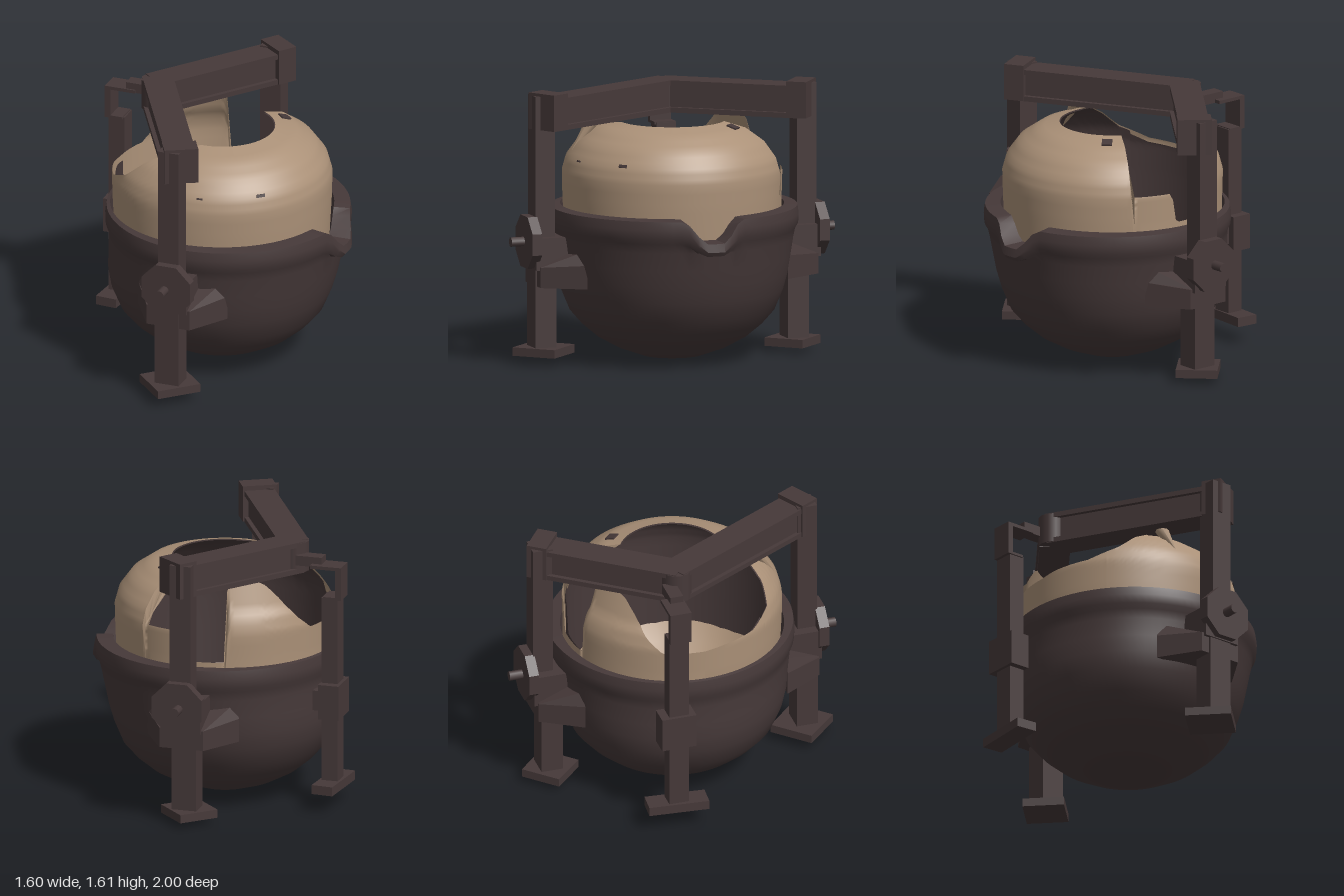
import * as THREE from 'three';
import { toCreasedNormals } from 'three/addons/utils/BufferGeometryUtils.js';

const iron = new THREE.MeshStandardMaterial({ color: 0x463939, side: THREE.DoubleSide });
iron.name = 'dark iron';
const clay = new THREE.MeshStandardMaterial({ color: 0xab9178, side: THREE.DoubleSide });
clay.name = 'tan lining';

const V2 = (p) => new THREE.Vector2(p[0], p[1]);

function add(parent, name, geo, mat, pos = [0, 0, 0], rot = [0, 0, 0]) {
  const m = new THREE.Mesh(geo, mat);
  m.name = name;
  m.position.set(...pos);
  m.rotation.set(...rot);
  parent.add(m);
  return m;
}

// box given by its min and max on each axis
function box(parent, name, x0, x1, y0, y1, z0, z1, turn = 0) {
  return add(parent, name, new THREE.BoxGeometry(x1 - x0, y1 - y0, z1 - z0), iron,
    [(x0 + x1) / 2, (y0 + y1) / 2, (z0 + z1) / 2], [0, turn, 0]);
}

// piecewise linear lookup in [[key, value...], ...]
function lookup(table, k, col = 1) {
  for (let i = 1; i < table.length; i++) {
    const a = table[i - 1], b = table[i];
    if (k <= b[0]) return THREE.MathUtils.lerp(a[col], b[col], Math.max(0, (k - a[0]) / (b[0] - a[0])));
  }
  return table[table.length - 1][col];
}

// round-bottomed pot with a rim band and a pouring notch on +x
function potGeometry() {
  const profile = [[0, 0.01], [0.18, 0.03], [0.32, 0.08], [0.44, 0.145], [0.53, 0.22], [0.6, 0.3], [0.65, 0.42], [0.675, 0.52],
    [0.687, 0.62], [0.7, 0.73], [0.71, 0.785], [0.727, 0.815], [0.73, 0.87], [0.722, 0.92], [0.655, 0.925], [0.645, 0.8]];
  const geo = new THREE.LatheGeometry(profile.map(V2), 96);
  const p = geo.attributes.position;
  for (let i = 0; i < p.count; i++) {
    let x = p.getX(i), y = p.getY(i), z = p.getZ(i);
    const r = Math.hypot(x, z);
    if (r < 0.01) continue;
    const c = x / r;
    const high = THREE.MathUtils.smoothstep(y, 0.4, 0.85);
    const notch = x > 0 ? 1 - THREE.MathUtils.smoothstep(Math.abs(z), 0.04, 0.18) : 0;
    let grow = r > 0.66 ? high * (c > 0 ? 0.03 : 0.05) * c : 0;
    if (r > 0.69 && y > 0.75) grow += 0.035 * notch;
    if (y > 0.75) y -= notch * (y > 0.84 ? 0.13 : 0.07);
    p.setXYZ(i, x * (1 + grow / r), y, z * (1 + grow / r));
  }
  return toCreasedNormals(geo, 0.55);
}

// lining wall: [step, radius, height], and how far it reaches at each angle
const wall = [[0, 0.615, 0.5], [1, 0.64, 0.95], [2, 0.645, 1.12], [3, 0.62, 1.21], [4, 0.55, 1.305], [5, 0.44, 1.38], [6, 0.31, 1.415]];
const reach = [[-180, 1.9], [-157, 1.9], [-150, 2.6], [-128, 5.7], [-109, 5.7], [-107, 1], [-85, 1], [-82, 2.1],
  [-61, 2.1], [-59, 6], [92, 6], [108, 5.5], [122, 4.3], [134, 3], [150, 2.2], [180, 1.9]];

function shellGeometry(from, to, inset = 0) {
  const pos = [], index = [], rows = 18, cols = Math.round((to - from) / 2);
  for (let j = 0; j <= cols; j++) {
    const deg = from + (to - from) * j / cols, a = deg * Math.PI / 180;
    const top = lookup(reach, deg);
    for (let i = 0; i <= rows; i++) {
      const s = top * i / rows, y = lookup(wall, s, 2);
      let r = lookup(wall, s, 1);
      if (deg < -62) r = Math.max(r, Math.min(0.64, 0.64 - (y - 1.1) * 0.33)); // flap stands steeper than the dome
      r -= inset;
      pos.push(r * Math.cos(a), y - inset, r * Math.sin(a));
      if (i < rows && j < cols) {
        const k = j * (rows + 1) + i, n = k + rows + 1;
        index.push(k, k + 1, n, k + 1, n + 1, n);
      }
    }
  }
  const g = new THREE.BufferGeometry();
  g.setAttribute('position', new THREE.Float32BufferAttribute(pos, 3));
  g.setIndex(index);
  g.computeVertexNormals();
  return g;
}

// uneven bowl deep inside the lining
function floorGeometry() {
  const g = new THREE.LatheGeometry([[0.62, 0.56], [0.55, 0.46], [0.45, 0.37], [0.33, 0.29], [0.22, 0.26], [0.1, 0.22], [0, 0.21]].map(V2), 40);
  const p = g.attributes.position;
  for (let i = 0; i < p.count; i++)
    p.setY(i, p.getY(i) + 0.012 * Math.sin(9 * p.getX(i)) * Math.cos(11 * p.getZ(i)));
  g.computeVertexNormals();
  return g;
}

// cradle bracket, wide at the pot and narrow at its outer end
function cradleGeometry() {
  const shape = new THREE.Shape([[-0.28, 0.48], [0.28, 0.48], [0.28, 0.62], [0.24, 0.7], [-0.24, 0.7], [-0.28, 0.62]].map(V2));
  const g = new THREE.ExtrudeGeometry(shape, { depth: 0.24, bevelEnabled: false });
  const p = g.attributes.position;
  for (let i = 0; i < p.count; i++)
    if (p.getZ(i) > 0.1) p.setXY(i, p.getX(i) * 0.48, Math.min(p.getY(i), 0.6));
  g.computeVertexNormals();
  return g;
}

// side stand with foot, trunnion and bracket; s is the side along z
function sideStand(s) {
  const g = new THREE.Group();
  g.name = s > 0 ? 'frontStand' : 'backStand';
  const inward = s > 0 ? 0 : 0.045, drop = s > 0 ? 0 : 0.02, size = s > 0 ? 0.27 : 0.245;
  const b = (name, x0, x1, y0, y1, a, c) => box(g, name, x0, x1, y0, y1, Math.min(a * s, c * s), Math.max(a * s, c * s));
  add(g, 'foot', new THREE.BoxGeometry(size, 0.05, size), iron, [-0.015, 0.09 - drop, s * (0.79 - inward * 0.85)], [0, Math.PI / 4, 0]);
  b('lowerPost', -0.08, 0.07, 0.1 - drop, 0.6, 0.74 - inward, 0.87 - inward);
  b('upperPost', -0.06, 0.07, 0.62, 1.6, 0.75, 0.87);
  add(g, 'cradleBracket', cradleGeometry(), iron, [0, 0, s * 0.62], [0, s > 0 ? 0 : Math.PI, 0]);
  b('trunnionBlock', -0.12, 0.12, 0.58, 0.77, 0.68, 0.88);
  // eight-sided bearing plate and its pin
  const plate = new THREE.CylinderGeometry(0.165, 0.165, 0.06, 8).rotateY(Math.PI / 8).toNonIndexed();
  plate.computeVertexNormals();
  add(g, 'bearingPlate', plate, iron, [0.01, 0.74, s * 0.89], [Math.PI / 2, 0, 0]);
  add(g, 'pin', new THREE.CylinderGeometry(0.028, 0.028, 0.14, 10), iron, [0, 0.74, s * 0.93], [Math.PI / 2, 0, 0]);
  return g;
}

// flanged beam from a post top to the elbow
function beam(s) {
  const g = new THREE.Group();
  g.name = s > 0 ? 'frontBeam' : 'backBeam';
  const ax = 0.055, az = s * 0.8, bx = -0.45, bz = -0.12;
  const len = Math.hypot(bx - ax, bz - az);
  g.position.set((ax + bx) / 2, 1.5, (az + bz) / 2);
  g.rotation.y = Math.atan2(ax - bx, az - bz);
  const slab = (name, w, h, l, y, z) => add(g, name, new THREE.BoxGeometry(w, h, l), iron, [0, y, z]);
  slab('topFlange', 0.18, 0.03, len + 0.06, 0.075, 0);
  slab('web', 0.13, 0.16, len, 0, 0);
  slab('bottomFlange', 0.18, 0.03, len + 0.04, -0.085, 0);
  slab('beamCollar', 0.2, 0.215, 0.12, 0.01, len / 2 - 0.02);
  return g;
}

export function createModel() {
  const model = new THREE.Group();
  model.name = 'tiltingCrucible';

  add(model, 'pot', potGeometry(), iron);
  // broken lining: domed side, low side with a tall flap, dark inside
  add(model, 'liningDome', shellGeometry(-59, 140), clay);
  add(model, 'liningDomeInside', shellGeometry(-58.5, 140, 0.006), iron);
  add(model, 'liningLowWallFront', shellGeometry(140, 180), clay);
  add(model, 'liningLowWallFrontInside', shellGeometry(140, 180, 0.02), iron);
  add(model, 'liningLowWallBack', shellGeometry(-180, -59), clay);
  add(model, 'liningLowWallBackInside', shellGeometry(-105, -61, 0.02), iron);
  add(model, 'liningFloor', floorGeometry(), clay);
  add(model, 'liningDrip', new THREE.ConeGeometry(0.04, 0.24, 8), clay, [-0.115, 1.31, 0.53], [Math.PI - 0.64, 0, 0]);

  // small dark cracks in the dome: position, upward tilt, size
  for (const [x, y, z, up, w, h] of [[0.421, 1.22, 0.452, 0.35, 0.05, 0.018], [0.1, 1.212, 0.612, 0.35, 0.035, 0.01],
    [0.282, 1.398, -0.28, 3, 0.06, 0.06]]) {
    const crack = add(model, 'crack', new THREE.BoxGeometry(w, h, 0.009), iron, [x, y, z]);
    crack.lookAt(2 * x, y + up * Math.hypot(x, z), 2 * z);
  }

  for (const s of [1, -1]) model.add(sideStand(s), beam(s));

  // elbow where the beams meet
  add(model, 'elbow', new THREE.CylinderGeometry(0.09, 0.09, 0.18, 12), iron, [-0.46, 1.495, -0.12]);

  // third post with clamp and hooked top plate
  const post = new THREE.Group();
  post.name = 'sideStand';
  box(post, 'foot', -0.79, -0.66, 0.12, 0.175, -0.38, -0.02, -0.08);
  box(post, 'post', -0.77, -0.67, 0.15, 1.29, -0.26, -0.14);
  box(post, 'clamp', -0.79, -0.665, 0.56, 0.77, -0.31, -0.1);
  box(post, 'clampArm', -0.69, -0.62, 0.6, 0.72, -0.27, -0.13);
  box(post, 'hookUpright', -0.79, -0.755, 1.29, 1.47, -0.26, -0.13);
  box(post, 'hookLedge', -0.79, -0.68, 1.28, 1.295, -0.26, -0.13);
  box(post, 'hookTop', -0.79, -0.6, 1.46, 1.48, -0.26, -0.13);
  box(post, 'hookPlug', -0.66, -0.5, 1.46, 1.52, -0.22, -0.14);
  model.add(post);

  return model;
}
